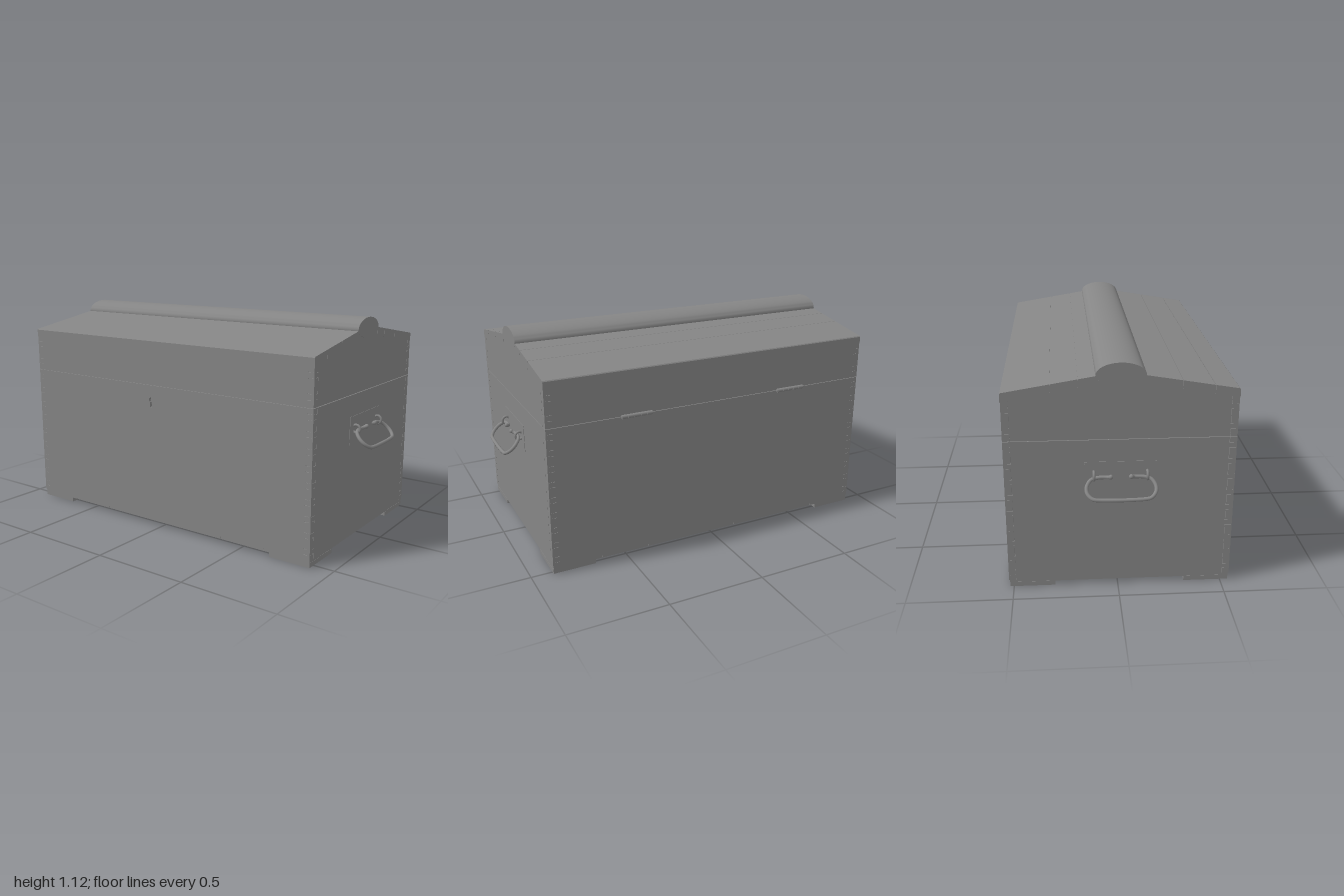
import * as THREE from 'three';
import { toCreasedNormals } from 'three/addons/utils/BufferGeometryUtils.js';

const W = 0.893;          // half length (x)
const D = 0.533;          // half depth (z)
const ZC = 0.01;          // chest centre in z
const T = 0.033;          // board thickness
const GAP = 0.002;        // joint gap
const PIN = 0.013;        // half height of a corner pin
const SEAM = 0.759;       // lid line
const roofY = (s) => 0.99 + (D - s) * 0.167;   // roof top at distance s from the ridge

export function createModel() {
  const chest = new THREE.Group();
  chest.name = 'chest';
  const mat = new THREE.MeshStandardMaterial({ color: 0x858585 });

  const add = (name, geo, x = 0, y = 0, z = 0, parent = chest) => {
    const mesh = new THREE.Mesh(geo, mat);
    mesh.name = name;
    mesh.position.set(x, y, z);
    parent.add(mesh);
    return mesh;
  };
  const box = (name, w, h, d, x, y, z, parent) =>
    add(name, new THREE.BoxGeometry(w, h, d), x, y, z, parent);
  const extrude = (shape, depth) =>
    new THREE.ExtrudeGeometry(shape, { depth, bevelEnabled: false, curveSegments: 10 })
      .translate(0, 0, -depth / 2);
  // Profile given as [z, y], extruded along x
  const prism = (points, length) =>
    extrude(new THREE.Shape(points.map(([z, y]) => new THREE.Vector2(-z, y))), length)
      .rotateY(Math.PI / 2);

  // Board outline whose ends carry pins (step > 0) or notches (step < 0)
  const jointedShape = (half, y0, y1, count, step, pin, peak = []) => {
    const right = [[half, y0]];
    const pitch = (y1 - y0) / count;
    for (let i = 0; i < count; i++) {
      const y = y0 + (i + 0.5) * pitch;
      right.push([half, y - pin], [half + step, y - pin * 1.2],
        [half + step, y + pin * 1.2], [half, y + pin]);
    }
    right.push([half, y1], ...peak);
    const left = right.map(([x, y]) => [-x, y]).reverse();
    return new THREE.Shape([...right, ...left].map(([x, y]) => new THREE.Vector2(x, y)));
  };

  // Four jointed walls for the box and for the lid
  const walls = (prefix, y0, y1, count, peak, keyhole) => {
    for (const s of [1, -1]) {
      const face = jointedShape(W, y0, y1, count, -T, PIN);
      if (keyhole && s > 0) face.holes.push(keyhole);
      add(prefix + (s > 0 ? 'FrontPanel' : 'BackPanel'), extrude(face, T), 0, 0, ZC + s * (D - T / 2));
      const end = jointedShape(D - T - GAP, y0, y1, count, T + GAP, PIN - GAP, peak);
      add(prefix + (s > 0 ? 'LeftPanel' : 'RightPanel'),
        extrude(end, T).rotateY(Math.PI / 2), s * (W - T / 2), 0, ZC);
    }
  };

  // Keyhole: round top with a slot below
  const keyhole = new THREE.Path();
  keyhole.moveTo(-0.061, 0.643);
  keyhole.lineTo(-0.049, 0.643);
  keyhole.lineTo(-0.049, 0.668);
  keyhole.absarc(-0.055, 0.68, 0.0135, -1.1, Math.PI + 1.1, false);
  keyhole.closePath();

  walls('body', 0.038, SEAM - 0.0015, 9, [], keyhole);
  walls('lid', SEAM + 0.0015, 0.955, 2, [[0.102, 1.026], [0.099, 1.052]]);

  // Inner cores behind the joints
  const c = D - 0.015;
  box('bodyCore', 2 * W - 0.03, 0.722, 2 * c, 0, 0.391, ZC);
  add('lidCore', prism([[c, 0.766], [c, 0.95], [0.1, 1.022], [-0.1, 1.022], [-c, 0.95], [-c, 0.766]],
    2 * W - 0.03), 0, 0, ZC);
  box('seamFiller', 2 * W - 0.012, 0.03, 2 * D - 0.012, 0, SEAM, ZC);

  // Roof boards on each slope, bedded into the lid walls
  const slopes = { 1: [D, 0.422, 0.276, 0.1], [-1]: [D, 0.315, 0.192, 0.1] };
  const th = 0.042;
  for (const s of [1, -1]) {
    const cuts = slopes[s];
    for (let i = 0; i < 3; i++) {
      const chamfer = i ? 0.001 : 0.004;
      const a = cuts[i] + (i ? -GAP / 2 : 0.002);
      const b = cuts[i + 1] + GAP / 2;
      add('roofBoard', prism([[s * a, roofY(a) - th], [s * a, roofY(a) - chamfer],
        [s * (a - chamfer), roofY(a - chamfer)], [s * b, roofY(b)],
        [s * b, roofY(b) - th]], 2 * W + 0.002), 0, 0, ZC);
    }
    // Strip closing the joints between boards
    add('roofLining', prism([[s * 0.5, roofY(0.5) - th], [s * 0.5, roofY(0.5) - 0.006],
      [s * 0.1, roofY(0.1) - 0.006], [s * 0.1, roofY(0.1) - th]], 2 * W - 0.008), 0, 0, ZC);
  }

  // Rounded ridge beam
  const ridge = [];
  for (let i = 0; i < 40; i++) {
    const a = (i / 40) * Math.PI * 2;
    const y = Math.sin(a);
    ridge.push([0.113 * Math.cos(a), 1.063 + y * (y > 0 ? 0.057 : 0.042)]);
  }
  add('ridgeBeam', toCreasedNormals(prism(ridge, 2 * W + 0.002), 0.6), 0, 0, ZC);

  // Bottom planks and corner feet
  const planks = 7;
  const pw = (2 * W - 0.004) / planks;
  for (let i = 0; i < planks; i++) {
    box('bottomPlank', pw - GAP, 0.012, 2 * D - 0.008, (i - (planks - 1) / 2) * pw, 0.031, ZC);
  }
  for (const x of [1, -1]) for (const z of [1, -1]) {
    box('foot', 0.22, 0.023, 0.217, x * 0.781, 0.0135, ZC + z * 0.42);
  }

  // Hinge knuckles on the back
  for (const s of [1, -1]) {
    const hinge = new THREE.Group();
    hinge.name = 'hinge';
    hinge.position.set(s * 0.44, SEAM + 0.002, ZC - D - 0.011);
    for (let i = -2; i <= 2; i++) {
      add('hingeKnuckle', new THREE.CylinderGeometry(0.01, 0.01, 0.03, 14).rotateZ(Math.PI / 2),
        i * 0.032, 0, 0, hinge);
    }
    add('hingePin', new THREE.CylinderGeometry(0.006, 0.006, 0.162, 10).rotateZ(Math.PI / 2), 0, 0, 0, hinge);
    box('hingeLeaf', 0.155, 0.003, 0.03, 0, -0.002, 0.016, hinge);
    chest.add(hinge);
  }

  // Hanging bail handles on both ends
  const half = [[0.926, 0.587, 0.047], [0.913, 0.58, 0.06], [0.91, 0.578, 0.1], [0.918, 0.571, 0.137],
    [0.943, 0.548, 0.158], [0.967, 0.526, 0.156], [0.987, 0.508, 0.133], [0.991, 0.504, 0.105]];
  for (const s of [1, -1]) {
    const handle = new THREE.Group();
    handle.name = s > 0 ? 'leftHandle' : 'rightHandle';
    handle.position.z = ZC;
    const path = [...half, ...half.map(([x, y, z]) => [x, y, -z]).reverse()]
      .map(([x, y, z]) => new THREE.Vector3(s * x, y, z));
    add('bail', new THREE.TubeGeometry(new THREE.CatmullRomCurve3(path), 90, 0.009, 10), 0, 0, 0, handle);
    for (const z of [1, -1]) {
      add('bailTip', new THREE.SphereGeometry(0.011, 14, 10), s * 0.926, 0.587, z * 0.047, handle);
      add('staple', new THREE.TorusGeometry(0.02, 0.0065, 8, 24), s * 0.907, 0.586, z * 0.123, handle);
    }
    box('handlePlate', 0.003, 0.14, 0.332, s * (W + 0.0005), 0.58, 0, handle);
    chest.add(handle);
  }

  return chest;
}
